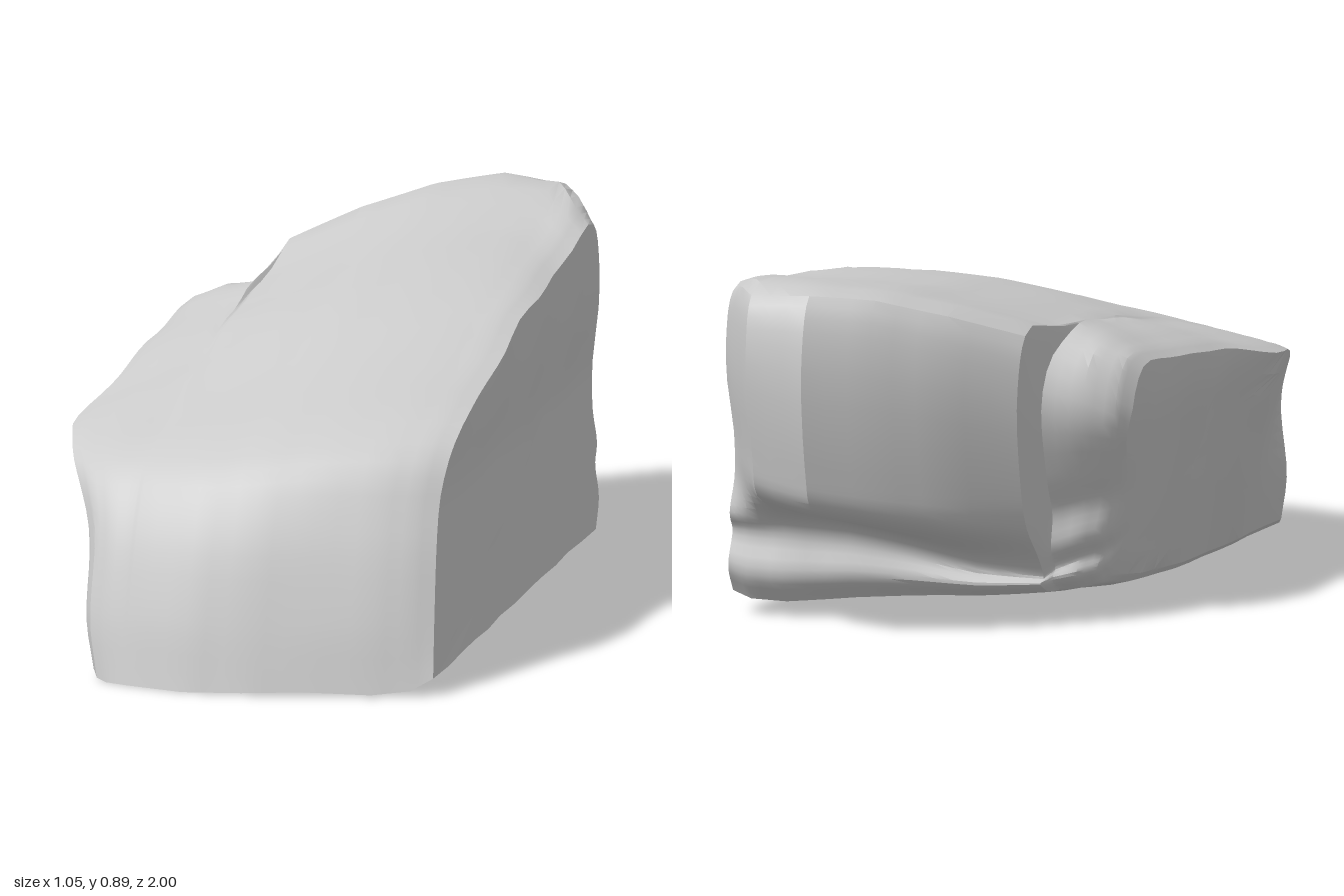
import * as THREE from 'three';
import { mergeVertices, toCreasedNormals } from 'three/addons/utils/BufferGeometryUtils.js';

const { lerp, clamp, smoothstep, mapLinear } = THREE.MathUtils;

// Cross-sections along x: front z, back z, back shoulder inset, lower step z,
// overhang y, drop of the top, lift of the base at the front and at the back
const STATIONS = [
  { x: -0.46, zf: 0.90, zb: -0.41, e: 0.07, zs: -0.34, ov: 0.22, d: 0.20, lift: 0.02, rise: 0.08 },
  { x: -0.43, zf: 0.93, zb: -0.45, e: 0.08, zs: -0.39, ov: 0.21, d: 0.175, lift: 0.005, rise: 0.08 },
  { x: -0.36, zf: 0.95, zb: -0.50, e: 0.12, zs: -0.44, ov: 0.20, d: 0.14, lift: 0, rise: 0.08 },
  { x: -0.27, zf: 0.96, zb: -0.55, e: 0.20, zs: -0.48, ov: 0.18, d: 0.11, lift: 0, rise: 0.08 },
  { x: -0.255, zf: 0.965, zb: -0.68, e: 0.05, zs: -0.52, ov: 0.16, d: 0.105, lift: 0, rise: 0.08 },
  { x: -0.10, zf: 0.995, zb: -0.82, e: 0.06, zs: -0.57, ov: 0.18, d: 0.05, lift: 0, rise: 0.07 },
  { x: 0.05, zf: 0.985, zb: -0.92, e: 0.06, zs: -0.61, ov: 0.21, d: 0.01, lift: 0.005, rise: 0.06 },
  { x: 0.20, zf: 0.955, zb: -1.0, e: 0.06, zs: -0.66, ov: 0.24, d: 0, lift: 0.01, rise: 0.05 },
  { x: 0.36, zf: 0.92, zb: -0.97, e: 0.05, zs: -0.70, ov: 0.26, d: 0, lift: 0.005, rise: 0.04 },
  { x: 0.45, zf: 0.89, zb: -0.815, e: 0.05, zs: -0.70, ov: 0.26, d: 0.01, lift: 0.015, rise: 0.03 },
  { x: 0.50, zf: 0.865, zb: -0.73, e: 0.04, zs: -0.69, ov: 0.26, d: 0.03, lift: 0.045, rise: 0.015 },
];

// Ridge height from back to front
const RIDGE = [[-1, 0.88], [-0.7, 0.868], [-0.4, 0.836], [0, 0.782], [0.4, 0.67], [0.76, 0.56], [1, 0.45]];
function topHeight(z, drop) {
  let i = 0;
  while (i < RIDGE.length - 2 && z > RIDGE[i + 1][0]) i++;
  const [z0, y0] = RIDGE[i], [z1, y1] = RIDGE[i + 1];
  return mapLinear(z, z0, z1, y0, y1) - drop * clamp(mapLinear(z, 0.45, -0.4, 0.55, 1), 0.5, 1);
}

const ARC = 60, BASE = 12;

// Closed outline: up the front, over the top, down the back, forward along the base
function outline(s) {
  const pts = [];
  const add = (z, y) => pts.push(new THREE.Vector3(0, y, z));
  const shoulder = s.zf - 0.24, back = s.zb + s.e;
  const yb = topHeight(back, s.d);
  add(s.zf, 0.005 + s.lift);
  add(s.zf - 0.045, 0.19);
  add(s.zf - 0.13, 0.42 - s.d * 0.2);
  for (const t of [0, 0.25, 0.5, 0.75, 1]) {
    const z = lerp(shoulder, back, t);
    add(z, topHeight(z, s.d));
  }
  add(s.zb, yb - 0.13);
  add(s.zb + 0.035, s.ov + 0.19);
  add(Math.min(s.zb + 0.07, s.zs + 0.01), s.ov + 0.1);
  add(s.zs - 0.01, s.ov + 0.01);
  add(s.zs + 0.02, s.ov - 0.04);
  add(s.zs, lerp(s.lift + s.rise, s.ov, 0.35));
  add(s.zs + 0.05, s.lift + s.rise);
  const ring = new THREE.CatmullRomCurve3(pts, false, 'centripetal').getPoints(ARC);
  const a = ring[ARC], b = ring[0];
  for (let i = 1; i < BASE; i++) {
    const t = i / BASE;
    ring.push(new THREE.Vector3(0, lerp(b.y + 0.015 * (1 - t), a.y, (1 - t) ** 4), lerp(a.z, b.z, t)));
  }
  return ring;
}

// Leaning left side, slightly flared right side
function leanX(x, y, z) {
  if (x < -0.27) {
    const h = clamp(y / 0.54, 0, 1);
    const edge = -0.345 - 0.135 * h
      - 0.045 * h * Math.exp(-(((z - 0.45) / 0.18) ** 2))
      + 0.05 * smoothstep(z, 0.6, 0.85) * smoothstep(y, 0.1, 0.4)
      + 0.02 * smoothstep(-z, 0, 0.3) * h;
    return -0.27 + (x + 0.27) * (edge + 0.27) / -0.19;
  }
  if (x > 0.2) {
    const flare = 0.02 - 0.03 * clamp(y / 0.45, 0, 1) + 0.012 * smoothstep(y, 0.45, 0.65);
    return x + ((x - 0.2) / 0.3) * flare;
  }
  return x;
}

// Gentle weathering
function weather(v) {
  const n = Math.sin(v.x * 13 + v.z * 7) * Math.sin(v.y * 11 + v.z * 9 + 1) + 0.5 * Math.sin(v.z * 23 + v.x * 17 + v.y * 8);
  v.y = Math.max(0, v.y + 0.005 * n * smoothstep(v.y, 0, 0.15));
  v.x += 0.003 * Math.sin(v.z * 19 + v.y * 6);
  return v;
}

function stoneGeometry() {
  const rings = [];
  const addRing = (points, x) => rings.push(points.map(p => weather(new THREE.Vector3(leanX(x, p.y, p.z), p.y, p.z))));
  const key = STATIONS.map(outline), last = key.length - 1, n = key[0].length;
  const center = ring => ring.reduce((s, v) => s.add(v), new THREE.Vector3()).divideScalar(n);
  const midLeft = center(key[0]), midRight = center(key[last]);
  const STEPS = 3, INSETS = [0.03, 0.2, 0.4, 0.6, 0.8, 1];

  // Left face, body, right face
  for (const t of INSETS.slice(0, -1)) addRing(key[0].map(p => midLeft.clone().lerp(p, t)), STATIONS[0].x);
  for (let k = 0; k < last; k++) {
    for (let m = 0; m < STEPS; m++) {
      const t = m / STEPS;
      addRing(key[k].map((p, j) => p.clone().lerp(key[k + 1][j], t)), lerp(STATIONS[k].x, STATIONS[k + 1].x, t));
    }
  }
  for (const t of INSETS.slice().reverse()) addRing(key[last].map(p => midRight.clone().lerp(p, t)), STATIONS[last].x);

  const pos = [], index = [];
  rings.forEach(r => r.forEach(v => pos.push(v.x, v.y, v.z)));
  for (let i = 0; i < rings.length - 1; i++) {
    for (let j = 0; j < n; j++) {
      const a = i * n + j, b = i * n + (j + 1) % n, c = a + n, d = b + n;
      index.push(a, c, b, b, c, d);
    }
  }
  // Close the centres of the side faces
  const end = (rings.length - 1) * n;
  for (let j = 1; j < n - 1; j++) index.push(0, j, j + 1, end, end + j + 1, end + j);

  const geo = new THREE.BufferGeometry();
  geo.setAttribute('position', new THREE.Float32BufferAttribute(pos, 3));
  geo.setIndex(index);
  return toCreasedNormals(mergeVertices(geo, 1e-5), 0.5);
}

export function createModel() {
  const stone = new THREE.MeshStandardMaterial({ color: 0xcccccc });
  stone.name = 'grey stone';
  const rock = new THREE.Mesh(stoneGeometry(), stone);
  rock.name = 'rock';
  const group = new THREE.Group();
  group.name = 'boulder';
  group.add(rock);
  return group;
}
